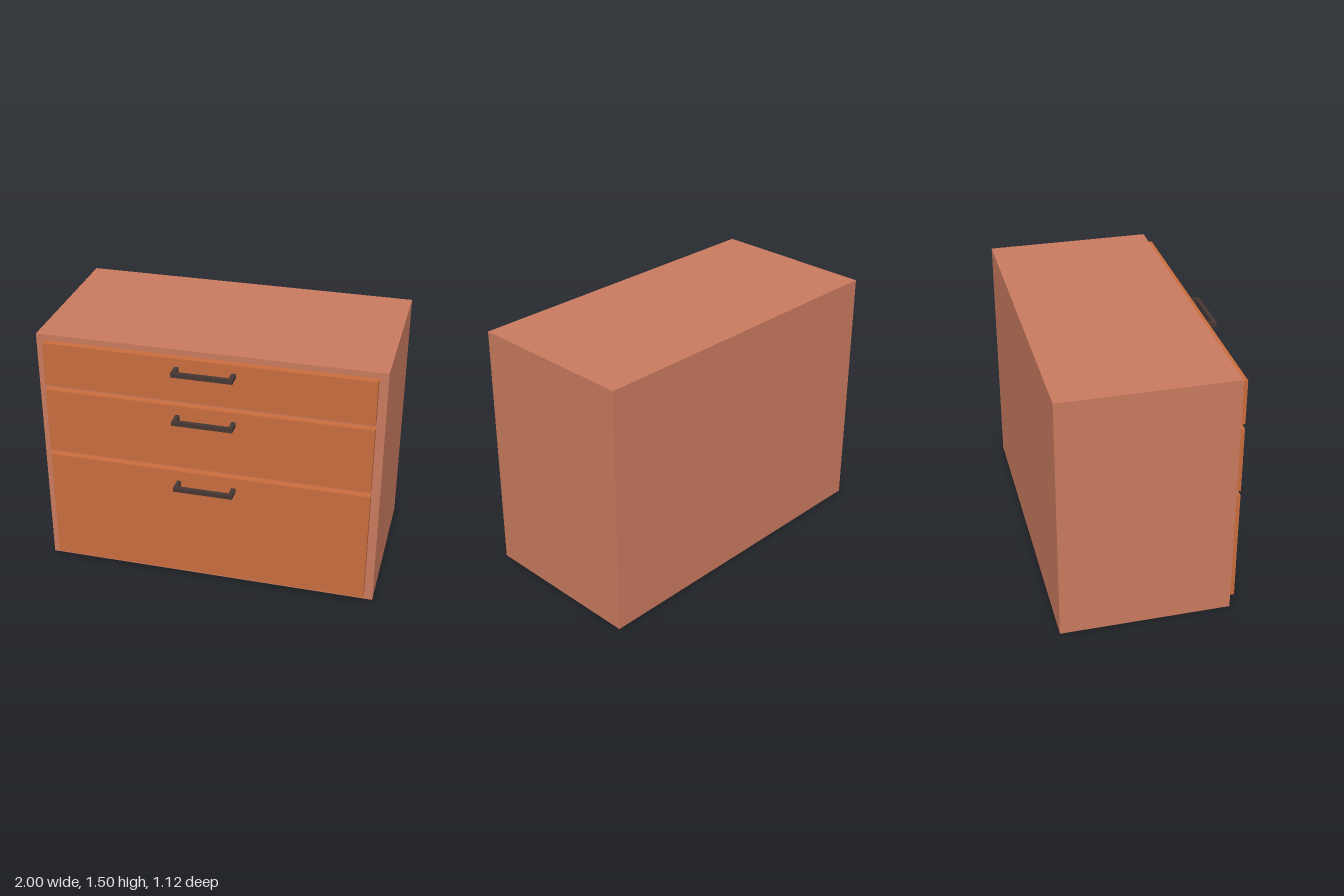
import * as THREE from 'three';

const material = (color) => new THREE.MeshStandardMaterial({ color });

// Box given by its minimum and maximum corners
function box(name, mat, [x0, y0, z0], [x1, y1, z1]) {
  const mesh = new THREE.Mesh(new THREE.BoxGeometry(x1 - x0, y1 - y0, z1 - z0), mat);
  mesh.position.set((x0 + x1) / 2, (y0 + y1) / 2, (z0 + z1) / 2);
  mesh.name = name;
  return mesh;
}

export function createModel() {
  const model = new THREE.Group();
  model.name = 'chestOfDrawers';
  const bodyMat = material(0xc87a5e);
  const drawerMat = material(0xc86c3e);
  const handleMat = material(0x463733);

  const bodyFront = 0.4375, drawerFront = 0.48, handleFront = 0.5625;
  const halfGrip = 0.175, bar = 0.025;

  // Cabinet
  model.add(box('cabinet', bodyMat, [-1, 0, -0.5625], [1, 1.5, bodyFront]));

  // Drawers: bottom, top and handle height
  const drawers = [
    ['bottomDrawer', 0.04, 0.74, 0.6625],
    ['middleDrawer', 0.77, 1.17, 1.1],
    ['topDrawer', 1.2, 1.465, 1.4025],
  ];
  for (const [name, bottom, top, y] of drawers) {
    const drawer = new THREE.Group();
    drawer.name = name;
    drawer.add(box('drawerFront', drawerMat, [-0.95, bottom, bodyFront], [0.95, top, drawerFront]));

    // Handle: a grip bar on two posts
    const handle = new THREE.Group();
    handle.name = 'handle';
    const lo = y - bar / 2, hi = y + bar / 2;
    handle.add(box('grip', handleMat, [-halfGrip, lo, handleFront - bar], [halfGrip, hi, handleFront]));
    for (const x of [-halfGrip, halfGrip - bar]) {
      handle.add(box('handlePost', handleMat, [x, lo, drawerFront], [x + bar, hi, handleFront - bar]));
    }
    drawer.add(handle);
    model.add(drawer);
  }
  return model;
}
